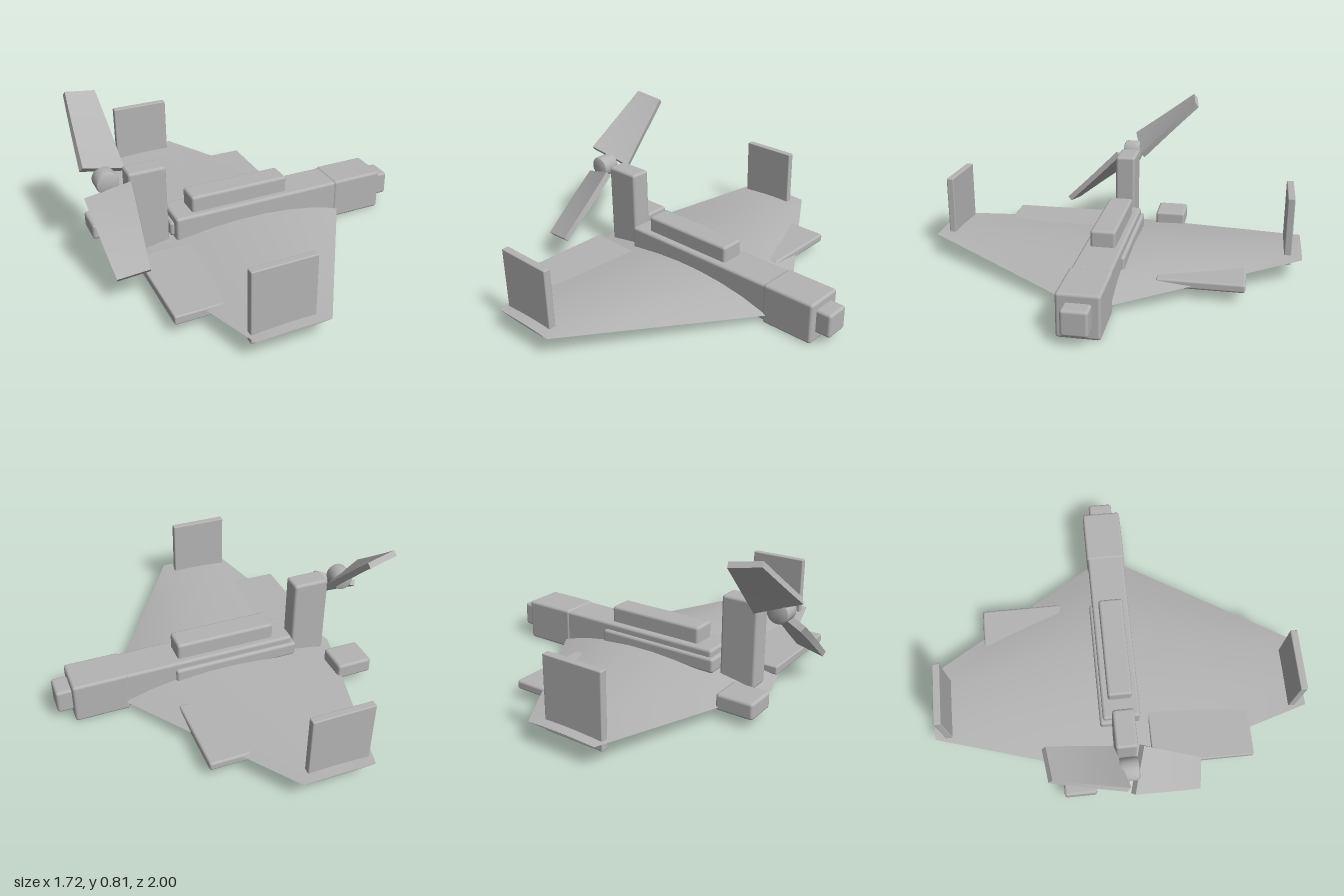
import * as THREE from 'three';
import { RoundedBoxGeometry } from 'three/addons/geometries/RoundedBoxGeometry.js';
import { toCreasedNormals } from 'three/addons/utils/BufferGeometryUtils.js';

// Skin a closed solid over rings of [x, y, z] points, counter-clockwise seen from +z
function loft(rings) {
  const n = rings[0].length, last = (rings.length - 1) * n, index = [];
  for (let i = 0; i < rings.length - 1; i++) {
    for (let j = 0; j < n; j++) {
      const k = (j + 1) % n;
      const a = i * n + j, b = i * n + k, c = b + n, d = a + n;
      index.push(a, b, d, b, c, d);
    }
  }
  for (let j = 1; j < n - 1; j++) index.push(0, j + 1, j, last, last + j, last + j + 1);
  const geo = new THREE.BufferGeometry();
  geo.setAttribute('position', new THREE.Float32BufferAttribute(rings.flat(2), 3));
  geo.setIndex(index);
  return toCreasedNormals(geo, 0.4);
}

// Thin aerofoil, tapered, swept and raised towards both tips
function wingGeometry() {
  const rings = [], steps = 8;
  for (let i = -8; i <= 8; i++) {
    const z = i / 8, s = Math.abs(z);
    const front = 0.58 - 0.64 * s, back = -0.716 + 0.286 * s;
    const base = 0.042 + 0.068 * s;
    const up = 0.085 * (1 - s) + 0.005, down = 0.03 * (1 - s) + 0.005;
    const ring = [];
    for (let j = 0; j < 2 * steps; j++) {
      const t = j <= steps ? j / steps : 2 - j / steps;
      const bulge = Math.sin(Math.PI * Math.pow(t, 0.85));
      ring.push([front + (back - front) * t, base + (j <= steps ? up : -down) * bulge, z]);
    }
    rings.push(ring);
  }
  return loft(rings);
}

// Tapered, twisted propeller blade growing along +z
function bladeGeometry() {
  const rings = [];
  for (let i = 0; i <= 4; i++) {
    const t = i / 4, w = (0.24 - 0.08 * t) / 2, h = 0.017 - 0.002 * t;
    const pitch = 0.42 - 0.21 * t, c = Math.cos(pitch), s = Math.sin(pitch);
    rings.push([[w, -h], [w, h], [-w, h], [-w, -h]].map(
      ([x, y]) => [x * c - y * s, x * s + y * c, 0.056 + 0.434 * t]));
  }
  return loft(rings);
}

export function createModel() {
  const model = new THREE.Group();
  model.name = 'aircraft';
  const grey = new THREE.MeshStandardMaterial({ color: 0xb4b4b4 });
  grey.name = 'plain grey';

  const add = (name, geo, parent = model) => {
    const mesh = new THREE.Mesh(geo, grey);
    mesh.name = name;
    parent.add(mesh);
    return mesh;
  };
  // Softly bevelled box given by its limits on each axis
  const box = (name, [x0, x1], [y0, y1], [z0, z1], r = 0.015) => {
    const geo = new RoundedBoxGeometry(x1 - x0, y1 - y0, z1 - z0, 2, r);
    add(name, geo).position.set((x0 + x1) / 2, (y0 + y1) / 2, (z0 + z1) / 2);
  };

  // Body
  box('fuselage', [-0.43, 0.52], [0.01, 0.215], [-0.1, 0.1]);
  box('noseSection', [0.49, 0.78], [0, 0.22], [-0.105, 0.105]);
  box('noseTip', [0.75, 0.86], [0.05, 0.178], [-0.065, 0.065]);
  box('canopy', [-0.33, 0.21], [0.18, 0.3], [-0.065, 0.065]);
  box('sidePanel', [-0.45, 0.235], [0.1, 0.178], [-0.117, 0.06]);
  box('enginePylon', [-0.65, -0.455], [0.05, 0.5], [-0.055, 0.055]);
  box('tailPod', [-0.795, -0.6], [0.045, 0.13], [-0.335, -0.165]);

  // Wing, its overlaid plates and the tip fins
  add('wing', wingGeometry());
  box('leftWingPlate', [-0.67, -0.04], [0.055, 0.1], [0.145, 0.685], 0.008);
  box('rightWingPlate', [-0.2, 0.285], [0.055, 0.1], [-0.72, -0.28], 0.012);
  for (const side of [1, -1]) {
    const z = 0.927 * side;
    box('tipFin', [-0.427, -0.108], [0.058, 0.425], [z - 0.019, z + 0.019], 0.006);
  }

  // Propeller
  const propeller = new THREE.Group();
  propeller.name = 'propeller';
  propeller.position.set(-0.748, 0.467, 0);
  model.add(propeller);
  const r = 0.058, profile = [[0, -0.05], [r - 0.015, -0.05], [r - 0.004, -0.045], [r, -0.035],
    [r, 0.035], [r - 0.004, 0.045], [r - 0.015, 0.05], [0, 0.05]];
  const hub = new THREE.LatheGeometry(profile.map(p => new THREE.Vector2(...p)), 24);
  add('hub', toCreasedNormals(hub, 0.6), propeller).rotation.x = Math.PI / 2;
  for (const turn of [0, Math.PI]) {
    add('blade', bladeGeometry(), propeller).rotation.x = 0.711 + turn;
  }
  return model;
}
